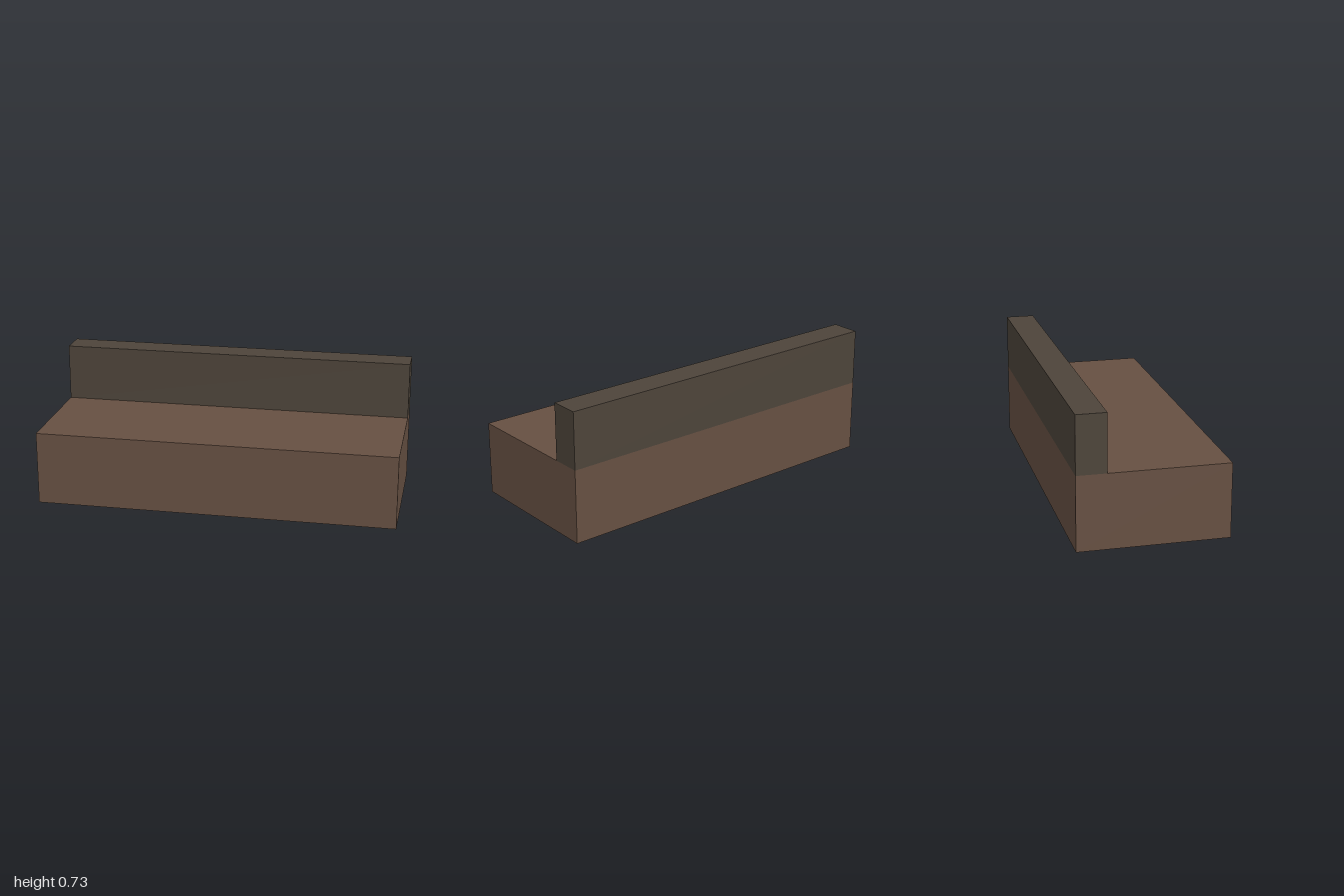
import * as THREE from 'three';

const WIDTH = 2;

// Full-width block spanning y0..y1 and z0..z1
function block(name, color, y0, y1, z0, z1) {
  const mesh = new THREE.Mesh(
    new THREE.BoxGeometry(WIDTH, y1 - y0, z1 - z0),
    new THREE.MeshStandardMaterial({ color })
  );
  mesh.position.set(0, (y0 + y1) / 2, (z0 + z1) / 2);
  mesh.name = name;
  return mesh;
}

export function createModel() {
  const model = new THREE.Group();
  model.name = 'bench';

  // Solid seat with a backrest flush along its rear edge
  model.add(block('seat', 0x665042, 0, 0.41, -0.408, 0.408));
  model.add(block('backrest', 0x4d443a, 0.41, 0.728, -0.408, -0.245));

  return model;
}
